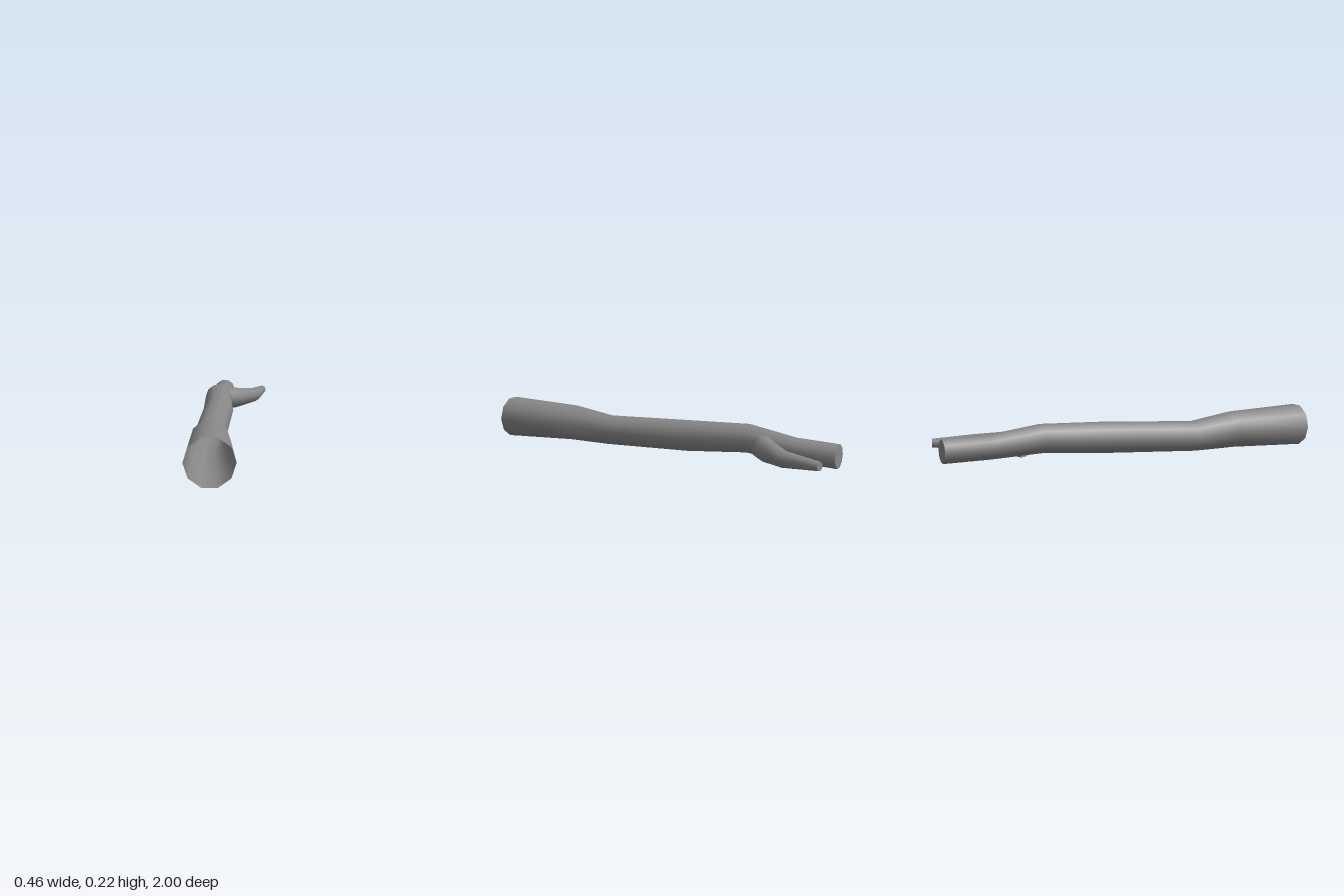
import * as THREE from 'three';

const SIDES = 10;

// Sweeps a decagon through rings of [x, y, z, radius]; axis(i) gives each ring's facing.
function limbGeometry(rings, axis) {
  const pos = [], idx = [];
  const up = new THREE.Vector3(0, 1, 0);
  rings.forEach(([x, y, z, r], i) => {
    const side = new THREE.Vector3().crossVectors(axis(i), up).normalize();
    const top = new THREE.Vector3().crossVectors(side, axis(i)).normalize();
    for (let s = 0; s < SIDES; s++) {
      const a = (s / SIDES) * Math.PI * 2;
      const p = new THREE.Vector3(x, y, z)
        .addScaledVector(side, r * Math.cos(a))
        .addScaledVector(top, r * Math.sin(a));
      pos.push(p.x, p.y, p.z);
      if (i > 0) {
        const n = (s + 1) % SIDES, a0 = (i - 1) * SIDES, b0 = i * SIDES;
        idx.push(a0 + s, a0 + n, b0 + s, a0 + n, b0 + n, b0 + s);
      }
    }
  });
  // Flat cap on the last ring, with its own vertices for a crisp rim
  const last = (rings.length - 1) * SIDES, cap = pos.length / 3;
  pos.push(...pos.slice(last * 3));
  for (let s = 1; s < SIDES - 1; s++) idx.push(cap, cap + s, cap + s + 1);

  const geo = new THREE.BufferGeometry();
  geo.setAttribute('position', new THREE.Float32BufferAttribute(pos, 3));
  geo.setIndex(idx);
  geo.computeVertexNormals();
  return geo;
}

export function createModel() {
  const group = new THREE.Group();
  group.name = 'fallenBranch';
  const bark = new THREE.MeshStandardMaterial({ color: 0x888888, side: THREE.DoubleSide });

  // Hollow main limb, open at the thick front end
  const trunkRings = [
    [-0.115, 0.109, 1, 0.114],
    [-0.115, 0.112, 0.57, 0.097],
    [-0.113, 0.094, 0.33, 0.08],
    [-0.073, 0.121, -0.18, 0.081],
    [-0.071, 0.142, -0.51, 0.073],
    [-0.045, 0.116, -0.77, 0.061],
    [-0.027, 0.111, -1, 0.06],
  ];
  const back = new THREE.Vector3(0, 0, -1);
  const trunk = new THREE.Mesh(limbGeometry(trunkRings, () => back), bark);
  trunk.name = 'mainLimb';
  group.add(trunk);

  // Side twig growing out of the main limb, rings turned along its path
  const twigRings = [
    [-0.052, 0.117, -0.595, 0.067],
    [0.032, 0.115, -0.652, 0.058],
    [0.147, 0.11, -0.788, 0.041],
    [0.207, 0.112, -0.985, 0.022],
  ];
  const points = twigRings.map(([x, y, z]) => new THREE.Vector3(x, y, z));
  const along = (i) => {
    const dir = new THREE.Vector3();
    if (i > 0) dir.add(points[i].clone().sub(points[i - 1]).normalize());
    if (i < points.length - 1) dir.add(points[i + 1].clone().sub(points[i]).normalize());
    return dir.normalize();
  };
  const twig = new THREE.Mesh(limbGeometry(twigRings, along), bark);
  twig.name = 'sideTwig';
  group.add(twig);

  return group;
}
